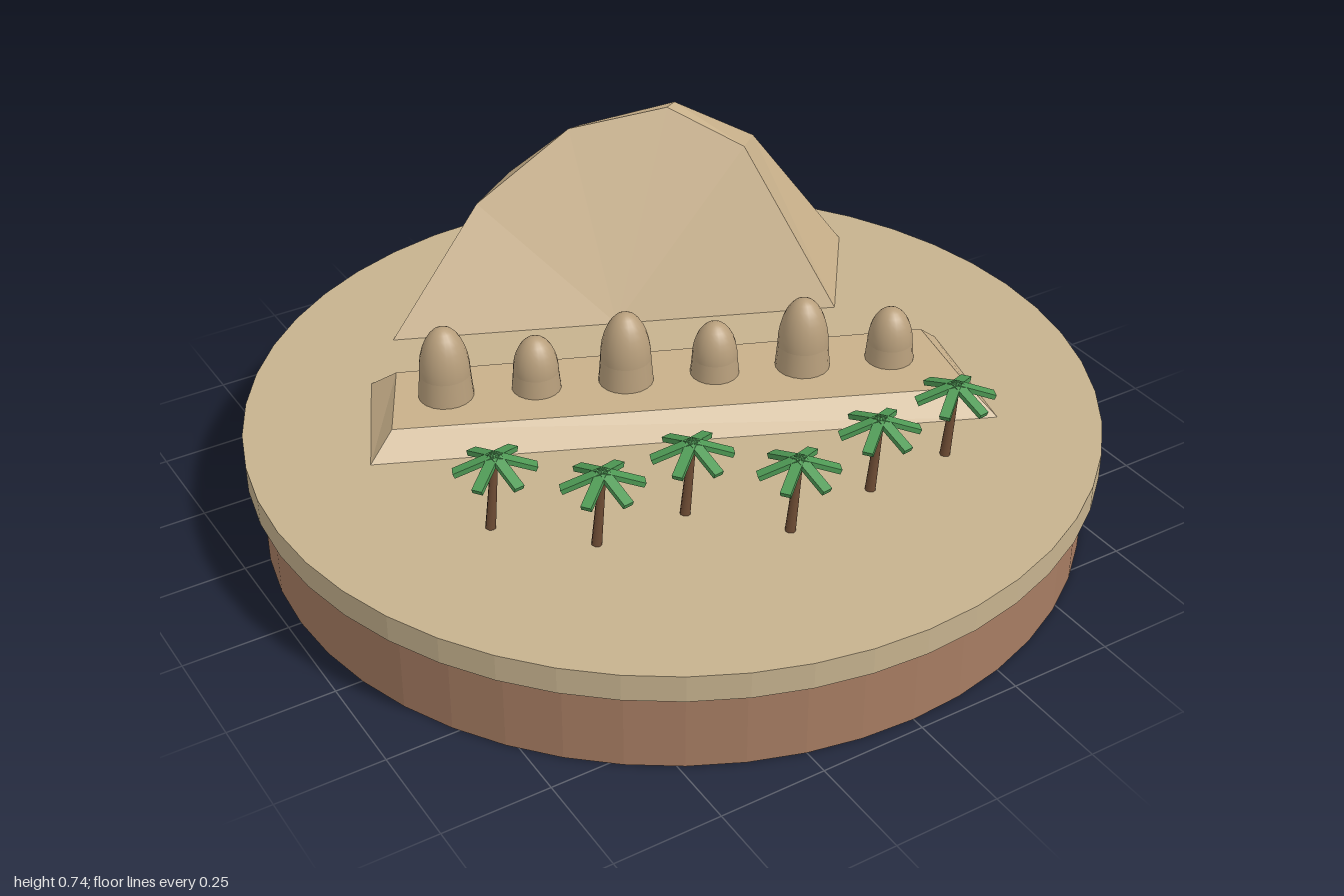
import * as THREE from 'three';

const mat = (name, color, flatShading = false) => {
  const m = new THREE.MeshStandardMaterial({ color, flatShading });
  m.name = name;
  return m;
};

const GROUND = 0.265;
const TERRACE = 0.32;

// Flat-sided solid from two matching loops: side strips plus a cap on each (a is the upper/front loop)
function loft(a, b) {
  const pos = [];
  const tri = (...p) => p.forEach((v) => pos.push(...v));
  const n = a.length;
  const mid = (l) => [0, 1, 2].map((k) => (l[0][k] + l[n - 1][k]) / 2);
  for (let i = 0; i < n; i++) {
    const j = (i + 1) % n;
    tri(a[i], b[i], b[j]);
    tri(a[i], b[j], a[j]);
  }
  for (let i = 0; i < n - 1; i++) {
    tri(mid(a), a[i], a[i + 1]);
    tri(mid(b), b[i + 1], b[i]);
  }
  const g = new THREE.BufferGeometry();
  g.setAttribute('position', new THREE.Float32BufferAttribute(pos, 3));
  g.computeVertexNormals();
  return g;
}

export function createModel() {
  const model = new THREE.Group();
  model.name = 'desertIsland';
  const earth = mat('earth', 0xa67c62, true);
  const sand = mat('sand', 0xc6b28e, true);
  const rock = mat('rock', 0xc8b08a, true);
  const clay = mat('clay', 0xb89f7c);
  const bark = mat('bark', 0x6e4c34);
  const leaf = mat('leaf', 0x4f9a55, true);

  const add = (parent, name, geometry, material, x = 0, y = 0, z = 0) => {
    const mesh = new THREE.Mesh(geometry, material);
    mesh.name = name;
    mesh.position.set(x, y, z);
    parent.add(mesh);
    return mesh;
  };

  // Round base with a slightly wider sand slab
  add(model, 'earthBase', new THREE.CylinderGeometry(0.97, 0.97, 0.2, 48), earth, 0, 0.1, 0);
  add(model, 'sandSlab', new THREE.CylinderGeometry(1, 1, 0.065, 48), sand, 0, 0.2325, 0);

  // Rocky hill: front arch joined to back arch, listed right to left
  const frontArch = [
    [0.561, GROUND, -0.136], [0.433, 0.65, -0.366], [0.289, 0.74, -0.495],
    [0.064, 0.7, -0.59], [-0.18, 0.545, -0.623], [-0.449, GROUND, -0.575],
  ];
  const backArch = [
    [0.775, GROUND, -0.42], [0.53, 0.61, -0.473], [0.326, 0.735, -0.52],
    [0.11, 0.69, -0.61], [-0.037, 0.55, -0.72], [-0.128, GROUND, -0.858],
  ];
  add(model, 'hill', loft(frontArch, backArch), rock);

  // Terrace with sloping sides
  const terraceTop = [[-0.54, -0.36], [-0.652, -0.15], [0.568, 0.395], [0.626, 0.13]];
  const terraceFoot = [[-0.578, -0.425], [-0.722, -0.122], [0.6, 0.465], [0.69, 0.106]];
  const raise = (loop, y) => loop.map(([x, z]) => [x, y, z]);
  add(model, 'terrace', loft(raise(terraceTop, TERRACE), raise(terraceFoot, GROUND)), rock);

  // Row of domed huts, alternately large and small
  for (let i = 0; i < 6; i++) {
    const s = i % 2 ? 0.058 / 0.065 : 1;
    const h = i % 2 ? 0.75 : 1;
    const hut = new THREE.Group();
    hut.name = 'hut';
    hut.position.set(-0.481 + i * 0.1936, TERRACE, -0.217 + i * 0.0814);
    hut.scale.set(s, h, s);
    add(hut, 'hutWall', new THREE.CylinderGeometry(0.06, 0.065, 0.06, 20, 1, true), clay, 0, 0.03, 0);
    const dome = add(hut, 'hutDome',
      new THREE.SphereGeometry(0.06, 20, 8, 0, Math.PI * 2, 0, Math.PI / 2), clay, 0, 0.06, 0);
    dome.scale.y = 2;
    model.add(hut);
  }

  // Palms leaning slightly to one side, each with six drooping fronds
  const palmSpots = [
    [-0.583, 0.227], [-0.417, 0.398], [-0.198, 0.404],
    [-0.037, 0.575], [0.198, 0.543], [0.422, 0.521],
  ];
  for (const [x, z] of palmSpots) {
    const palm = new THREE.Group();
    palm.name = 'palm';
    palm.position.set(x, GROUND, z);
    const trunk = add(palm, 'trunk', new THREE.CylinderGeometry(0.008, 0.012, 0.18, 8), bark, -0.009, 0.09, 0);
    trunk.rotation.z = -0.1;
    for (let i = 0; i < 6; i++) {
      const arm = new THREE.Group();
      arm.name = 'frond';
      arm.position.y = 0.182;
      arm.rotation.set(0, THREE.MathUtils.degToRad(97 + i * 60), -0.38, 'YXZ');
      add(arm, 'frondBlade', new THREE.BoxGeometry(0.096, 0.012, 0.024), leaf, 0.048, 0, 0);
      palm.add(arm);
    }
    model.add(palm);
  }

  return model;
}
